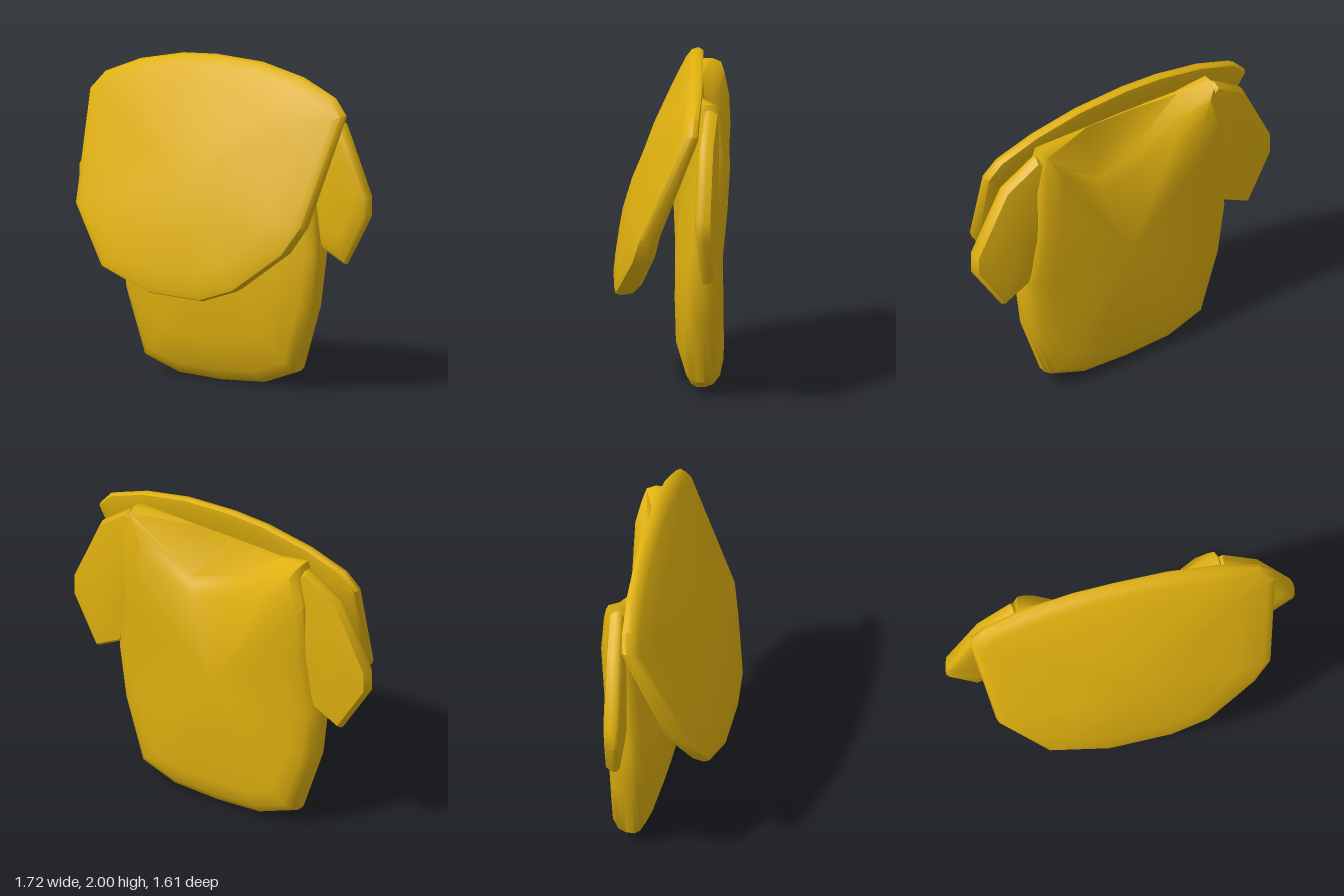
import * as THREE from 'three';
import { toCreasedNormals } from 'three/addons/utils/BufferGeometryUtils.js';

const yellow = new THREE.MeshStandardMaterial({ color: 0xdfb00f });
yellow.name = 'yellow';

// Closed pillow: an outline [x, y, z, backDip], counter-clockwise from the front,
// is shrunk towards a centre in rings [scale, zOffset] running from back to front.
function pillow(name, outline, centre, rings) {
  const n = outline.length;
  const [cx, cy, cz] = centre;
  const pos = [];
  const index = [];
  let rim = false;
  for (const [s, dz] of rings) {
    if (s === 1) rim = true;
    for (const [x, y, z, dip = 0] of outline) {
      const yy = y - (rim ? 0 : dip);
      const offset = typeof dz === 'function' ? dz(y) : dz;
      pos.push(cx + (x - cx) * s, cy + (yy - cy) * s, cz + (z - cz) * s + offset);
    }
  }
  const last = rings.length - 1;
  for (let i = 0; i < last; i++) {
    for (let j = 0; j < n; j++) {
      const k = (j + 1) % n;
      const a = i * n + j, b = i * n + k, c = b + n, d = a + n;
      index.push(a, b, c, a, c, d);
    }
  }
  // end caps fan to a middle point just beyond the first and last ring
  const back = pos.length / 3, front = back + 1;
  pos.push(cx, cy, cz + rings.back, cx, cy, cz + rings.front);
  for (let j = 0; j < n; j++) {
    const k = (j + 1) % n;
    index.push(back, k, j, front, last * n + j, last * n + k);
  }
  const geometry = new THREE.BufferGeometry();
  geometry.setAttribute('position', new THREE.Float32BufferAttribute(pos, 3));
  geometry.setIndex(index);
  const mesh = new THREE.Mesh(toCreasedNormals(geometry, 0.9), yellow);
  mesh.name = name;
  return mesh;
}

const layers = (back, front, list) => Object.assign(list, { back, front });
const mirror = (points) => points.map(([x, ...rest]) => [-x, ...rest]).reverse();

export function createModel() {
  const model = new THREE.Group();
  model.name = 'garment';
  const turned = new THREE.Group();
  turned.name = 'turnedGarment';
  turned.rotation.y = THREE.MathUtils.degToRad(-42);
  model.add(turned);

  // Body: flat back, gently rounded front, neckline dipping at the back
  const side = [
    [0.32, 0.015, -0.05], [0.565, 0.1, -0.045], [0.7, 0.5, -0.035], [0.745, 0.85, -0.04],
    [0.69, 1.25, -0.08], [0.69, 1.6, -0.1], [0.63, 1.85, -0.09],
  ];
  const neck = [[0.22, 1.81, 0.0, 0.31], [-0.12, 1.8, 0.0, 0.2], [-0.42, 1.8, -0.03, 0.06]];
  const backEdge = (low, high) => (y) => THREE.MathUtils.lerp(low, high, THREE.MathUtils.smoothstep(y, 0.6, 1.2));
  turned.add(pillow('body', [[0, 0, -0.05], ...side, ...neck, ...mirror(side)], [0, 0.85, -0.03],
    layers(-0.15, 0.14, [
      [0.8, -0.14], [0.92, backEdge(-0.115, -0.105)], [0.98, backEdge(-0.075, -0.08)], [1, -0.025],
      [1, 0.03], [0.98, 0.06], [0.92, 0.09], [0.7, 0.145],
    ])));

  // Sleeves: thin flat pads running on from the body's back
  const sleeve = [
    [0.9, 0.79, -0.08], [1.09, 1.09, -0.055], [1.09, 1.22, -0.055], [0.88, 1.66, -0.075],
    [0.66, 1.82, -0.1], [0.52, 1.7, -0.115], [0.5, 1.4, -0.115], [0.62, 1.22, -0.1],
    [0.72, 0.88, -0.08],
  ];
  const pad = () => layers(-0.065, 0.055, [
    [0.7, -0.06], [0.95, -0.05], [1, -0.015], [1, 0.015], [0.95, 0.035], [0.7, 0.05],
  ]);
  turned.add(pillow('leftSleeve', sleeve, [0.8, 1.3, -0.085], pad()));
  turned.add(pillow('rightSleeve', mirror(sleeve), [-0.8, 1.3, -0.085], pad()));

  // Front flap: a domed shield, joined at the top and swinging forward below
  const upper = [
    [0.86, 1.05, 0.3], [0.96, 1.72, 0.015], [0.87, 1.82, 0.0], [0.62, 1.92, -0.02], [0.3, 1.985, -0.03],
  ];
  const edge = [
    [-0.2, 0.575, 0.455], [0.2, 0.56, 0.45], [0.44, 0.64, 0.435], [0.75, 0.88, 0.345],
    ...upper, [-0.05, 2, -0.03], ...mirror(upper), [-0.57, 0.7, 0.425],
  ];
  const thick = (top, bottom) => (y) => -THREE.MathUtils.lerp(top, bottom, (2 - y) / 1.44);
  turned.add(pillow('frontFlap', edge, [0, 1.25, 0.25],
    layers(-0.06, 0.115, [
      [0.6, thick(0.06, 0.09)], [0.91, thick(0.055, 0.12)], [0.985, thick(0.035, 0.08)],
      [1, -0.01], [0.985, 0.025], [0.93, 0.045], [0.75, 0.07], [0.45, 0.1],
    ])));

  return model;
}
